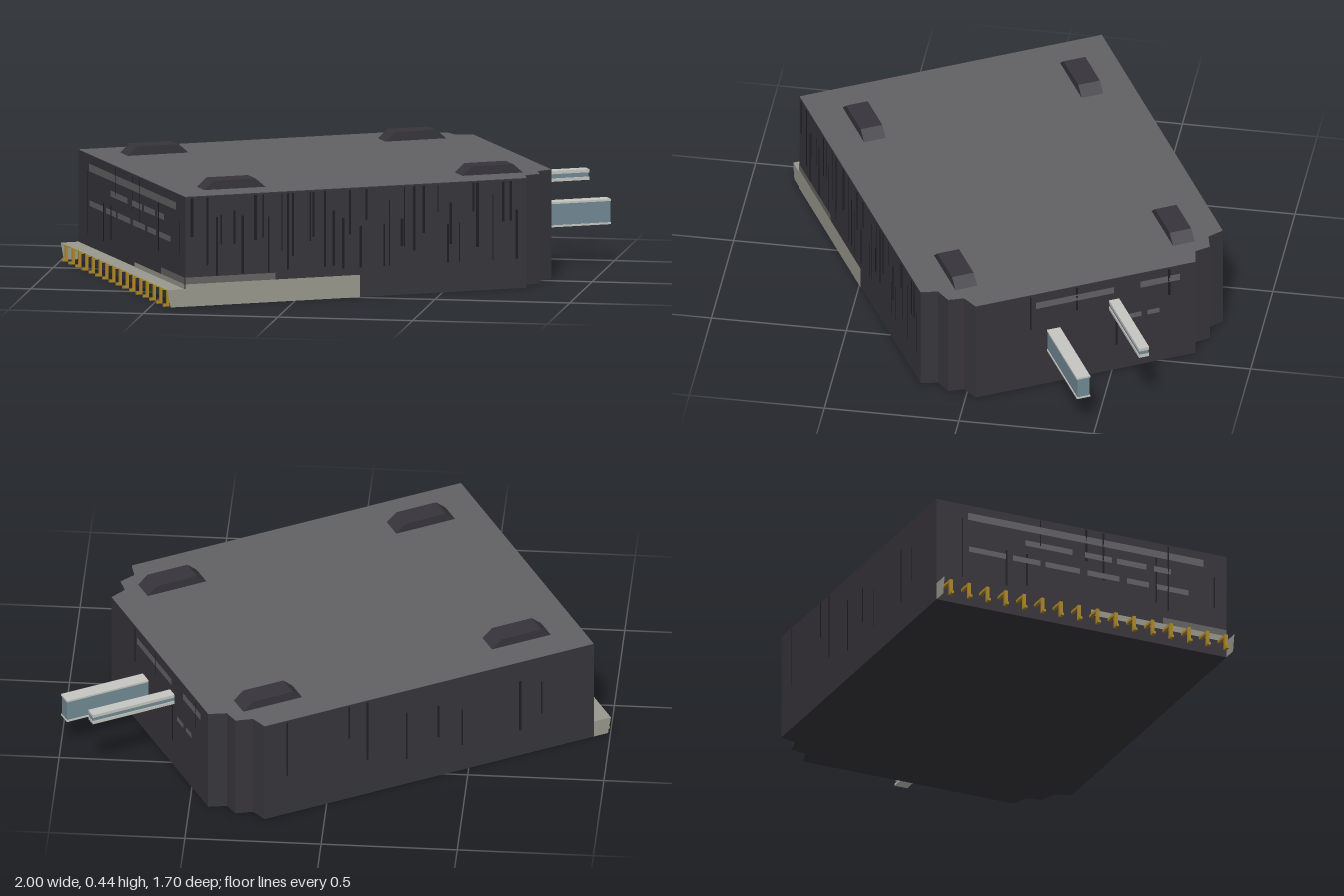
import * as THREE from 'three';

export function createModel() {
  const model = new THREE.Group();
  const g = new THREE.Group();
  g.name = 'building';
  g.rotation.y = 0.504;
  model.add(g);

  const mat = (name, color, side = THREE.FrontSide) => {
    const m = new THREE.MeshStandardMaterial({ color, side });
    m.name = name;
    return m;
  };
  const wall = mat('charcoal wall', 0x37353b);
  const lid = mat('grey roof', 0x626264);
  const streak = mat('dark streak', 0x1e1e21);
  const stone = mat('pale stone', 0x9a998e);
  const stoneDark = mat('grey stone', 0x656462);
  const metal = mat('light metal', 0xc6c6c2);
  const blue = mat('blue steel', 0x728a95);
  const gold = mat('gold', 0xb08a28);

  const add = (name, geo, m, x = 0, y = 0, z = 0, parent = g) => {
    const mesh = new THREE.Mesh(geo, m);
    mesh.name = name;
    mesh.position.set(x, y, z);
    parent.add(mesh);
    return mesh;
  };
  const box = (name, m, x0, x1, y0, y1, z0, z1) =>
    add(name, new THREE.BoxGeometry(x1 - x0, y1 - y0, z1 - z0), m,
      (x0 + x1) / 2, (y0 + y1) / 2, (z0 + z1) / 2);

  const H = 0.407, U0 = -0.722, U1 = 0.756, VC = -0.052, VH = 0.587;
  const V0 = VC - VH, V1 = VC + VH;

  // Body: rectangular plan with two stepped corners
  const steps = [[0.602, VH], [0.62, 0.525], [0.683, 0.508], [0.692, 0.45], [U1, 0.427]];
  const plan = [[U0, VH], ...steps,
    ...steps.slice().reverse().map(([u, v]) => [u, -v]), [U0, -VH]]
    .map(([u, v]) => new THREE.Vector2(u, -(v + VC)));
  const shape = new THREE.Shape(plan);
  const body = new THREE.ExtrudeGeometry(shape, { depth: H - 0.002, bevelEnabled: false });
  add('body', body.rotateX(-Math.PI / 2), wall);
  add('roof', new THREE.ShapeGeometry(shape).rotateX(-Math.PI / 2), lid, 0, H, 0);

  // Roof blocks with sloping ends
  const foot = new THREE.Shape();
  foot.moveTo(-0.118, 0).lineTo(0.118, 0).lineTo(0.08, 0.033).lineTo(-0.08, 0.033);
  const footGeo = new THREE.ExtrudeGeometry(foot, { depth: 0.084, bevelEnabled: false });
  footGeo.translate(0, 0, -0.042);
  for (const u of [-0.485, 0.515])
    for (const v of [-0.477, 0.368]) add('roofBlock', footGeo, wall, u, H, v);

  // Flat panels on the four walls; a and b run along the wall
  const panel = (name, side, m, a, b, y0, y1) => {
    const geo = new THREE.PlaneGeometry(b - a, y1 - y0);
    const c = (a + b) / 2, y = (y0 + y1) / 2, e = 0.003;
    const place = {
      front: [c, V1 + e, 0], back: [c, V0 - e, Math.PI],
      right: [U1 + e, c, Math.PI / 2], left: [U0 - e, c, -Math.PI / 2],
    }[side];
    add(name, geo, m, place[0], y, place[1]).rotation.y = place[2];
  };

  // Stone base courses wrapping the front left corner
  panel('baseCourse', 'front', stone, U0, -0.044, 0, 0.083);
  panel('upperCourse', 'front', stoneDark, U0, -0.373, 0.083, 0.108);
  panel('baseCourse', 'left', stone, -0.015, V1, 0.06, 0.083);
  panel('upperCourse', 'left', stoneDark, 0.276, V1, 0.083, 0.108);

  // Light strips on the end walls
  const strips = [
    ['left', 0.345, 0.373, [[-0.513, 0.441]]],
    ['left', 0.287, 0.309, [[-0.28, -0.09], [-0.04, 0.07], [0.09, 0.21], [0.24, 0.31]]],
    ['left', 0.217, 0.238, [[-0.51, -0.36], [-0.33, -0.22], [-0.2, -0.06], [-0.03, 0.1], [0.13, 0.22], [0.25, 0.38]]],
    ['right', 0.343, 0.37, [[-0.417, -0.263], [-0.16, 0.143]]],
    ['right', 0.217, 0.237, [[-0.268, -0.211], [-0.337, -0.291]]],
  ];
  for (const [side, y0, y1, spans] of strips)
    for (const [a, b] of spans) panel('wallStrip', side, lid, a, b, y0, y1);

  // Vertical dark streaks
  let seed = 7;
  const rnd = () => (seed = (seed * 16807) % 2147483647) / 2147483647;
  const streaks = (side, n, a, b) => {
    for (let i = 0; i < n; i++) {
      const p = a + (b - a) * (i + rnd()) / n, w = 0.004 + 0.007 * rnd();
      const top = rnd() < 0.55 ? 0.4 : 0.25 + 0.12 * rnd();
      const low = Math.max(0.11, top - 0.1 - 0.2 * rnd());
      panel('streak', side, streak, p, p + w, low, top);
    }
  };
  streaks('front', 36, U0 + 0.02, 0.58);
  streaks('back', 8, U0 + 0.1, 0.55);
  streaks('left', 9, V0 + 0.05, V1 - 0.05);
  streaks('right', 4, -0.42, 0.35);

  // Open ledge along the left wall: top sheet and end caps
  const L = -0.791, LY = 0.065;
  add('ledgeTop', new THREE.PlaneGeometry(U0 - L, V1 - V0).rotateX(-Math.PI / 2), stone,
    (U0 + L) / 2, LY, VC);
  const cap = new THREE.Shape();
  cap.moveTo(L + 0.012, 0).lineTo(U0, 0).lineTo(U0, LY).lineTo(L, LY);
  const capMat = mat('pale stone end', 0x9a998e, THREE.DoubleSide);
  for (const v of [V0, V1]) add('ledgeEnd', new THREE.ShapeGeometry(cap), capMat, 0, 0, v);

  // Row of bent gold pins under the ledge
  for (let i = 0; i < 16; i++) {
    const v = V0 + 0.03 + i * (V1 - V0 - 0.06) / 15;
    box('pinPost', gold, -0.785, -0.775, 0.004, 0.06, v - 0.006, v + 0.006);
    box('pinArm', gold, -0.785, U0, 0.05, 0.06, v - 0.006, v + 0.006);
    box('pinFoot', gold, -0.797, -0.775, 0.0, 0.01, v - 0.006, v + 0.006);
  }

  // Two rails: blue web between light flanges
  const rail = (v, w, y0, y1, t) => {
    box('railWeb', blue, U1 - 0.05, 1.083, y0 + t, y1 - t, v - w / 2 + 0.003, v + w / 2 - 0.003);
    box('railTop', metal, U1 - 0.05, 1.085, y1 - t, y1, v - w / 2, v + w / 2);
    box('railBottom', metal, U1 - 0.05, 1.085, y0, y0 + t, v - w / 2, v + w / 2);
  };
  rail(-0.162, 0.04, 0.273, 0.313, 0.012);
  rail(0.073, 0.052, 0.145, 0.238, 0.007);

  return model;
}
